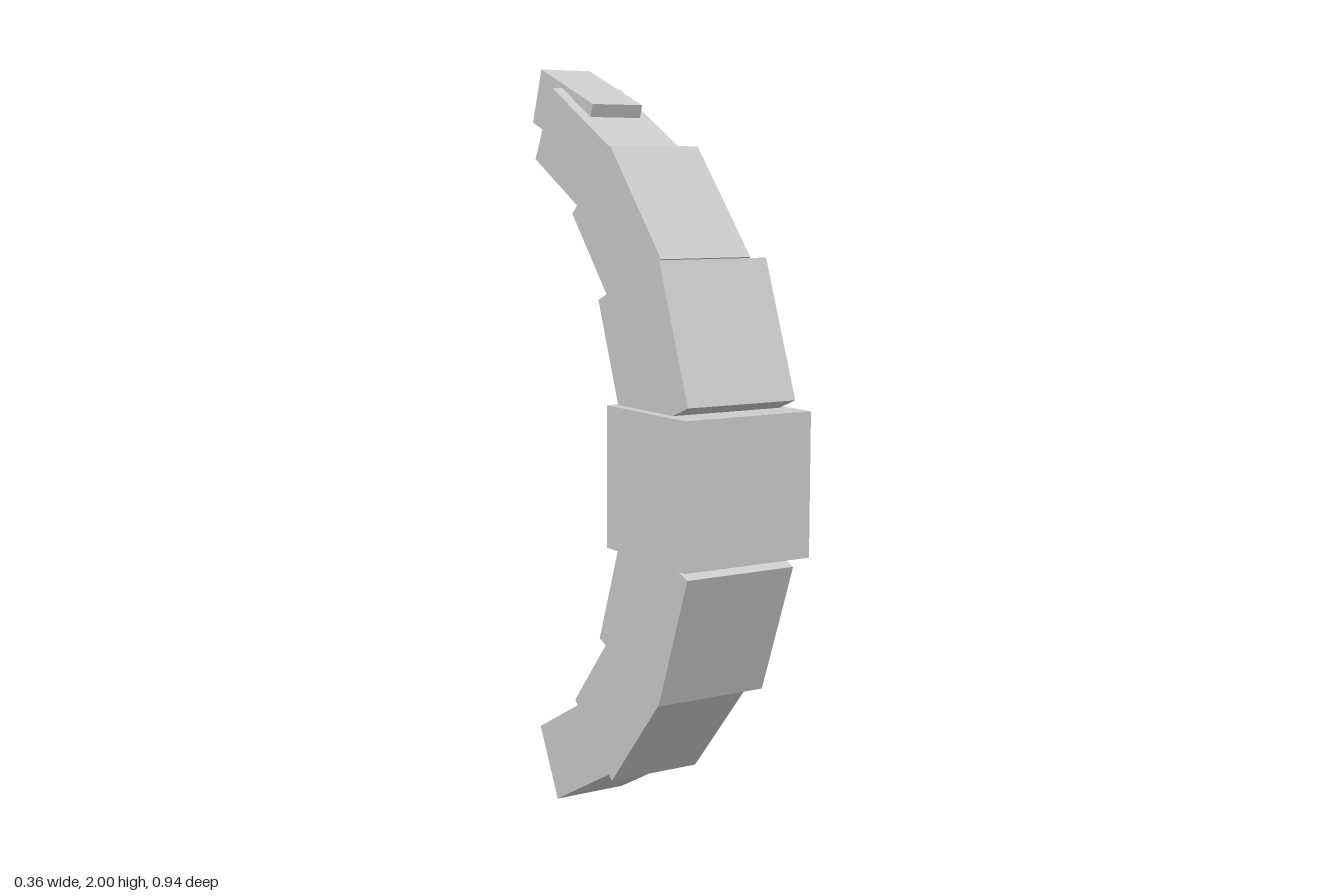
import * as THREE from 'three';

export function createModel() {
  const model = new THREE.Group();
  model.name = 'curvedSegmentArc';

  const lightGrey = new THREE.MeshStandardMaterial({ color: 0xcccccc });
  lightGrey.name = 'lightGrey';

  // One square-section block, leaning in the y-z plane (degrees towards the back)
  function block(name, width, length, y, z, lean) {
    const mesh = new THREE.Mesh(new THREE.BoxGeometry(width, length, width), lightGrey);
    mesh.name = name;
    mesh.position.set(0, y, z);
    mesh.rotation.x = -THREE.MathUtils.degToRad(lean);
    model.add(mesh);
  }

  // Central block, the widest
  const midY = 0.975;
  block('centreBlock', 0.36, 0.36, midY, 0.29, 0);

  // Tapering blocks, mirrored above and below the centre
  const segments = [
    { width: 0.308, rise: 0.32, z: 0.233, lean: 20.7 },
    { width: 0.258, rise: 0.595, z: 0.065, lean: 41.4 },
    { width: 0.208, rise: 0.794, z: -0.189, lean: 62 },
  ];
  segments.forEach(({ width, rise, z, lean }, i) => {
    block(`upperBlock${i + 1}`, width, 0.362, midY + rise, z, lean);
    block(`lowerBlock${i + 1}`, width, 0.362, midY - rise, z, -lean);
  });

  // Small tip on the upper end only
  block('upperTip', 0.148, 0.295, 1.88, -0.303, 70);

  return model;
}
